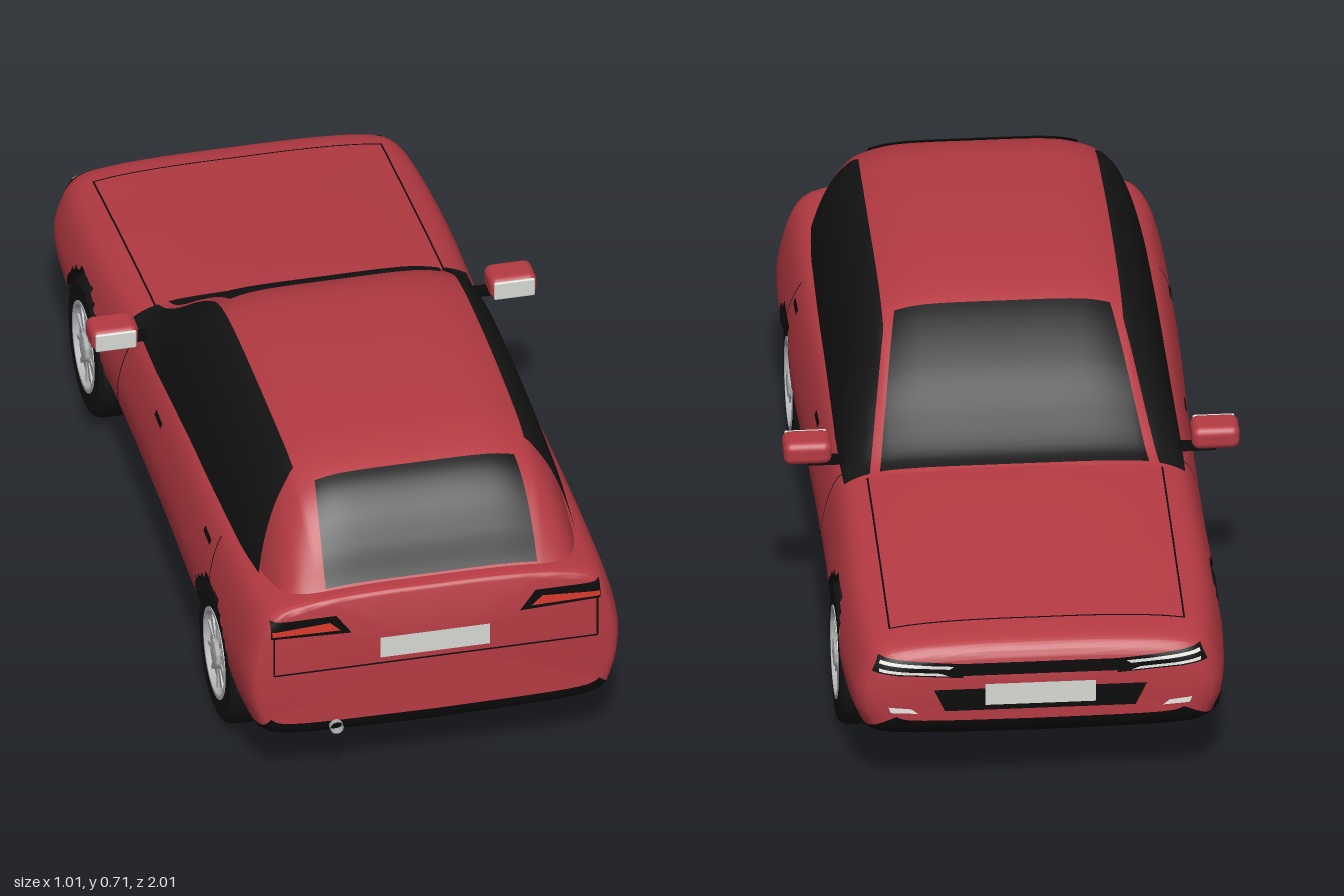
import * as THREE from 'three';
import { toCreasedNormals } from 'three/addons/utils/BufferGeometryUtils.js';
import { RoundedBoxGeometry } from 'three/addons/geometries/RoundedBoxGeometry.js';

const mat = (name, color, side = THREE.FrontSide) => new THREE.MeshStandardMaterial({ name, color, side });
const lerp = THREE.MathUtils.lerp;

// Smooth interpolation of table rows [z, a, b, ...]
function table(rows) {
  const slope = (i, k) => {
    const a = rows[Math.max(i - 1, 0)], b = rows[Math.min(i + 1, rows.length - 1)];
    return (b[k] - a[k]) / (b[0] - a[0]);
  };
  return (z, k) => {
    let i = 0;
    while (i < rows.length - 2 && z > rows[i + 1][0]) i++;
    const p = rows[i], q = rows[i + 1], h = q[0] - p[0];
    const t = THREE.MathUtils.clamp((z - p[0]) / h, 0, 1), s = 1 - t;
    return p[k] * s * s * (1 + 2 * t) + q[k] * t * t * (1 + 2 * s)
      + h * t * s * (slope(i, k) * s - slope(i + 1, k) * t);
  };
}
const spline = pts => new THREE.SplineCurve(pts.map(p => new THREE.Vector2(...p)));

// Lower body: z, half width, top, sill, floor
const body = table([
  [-1, .335, .345, .21, .195], [-.993, .365, .36, .195, .175], [-.975, .39, .376, .18, .155],
  [-.93, .408, .388, .168, .13], [-.8, .42, .402, .165, .1], [-.6, .425, .423, .165, .082],
  [-.3, .42, .45, .165, .08], [.1, .422, .473, .165, .08], [.5, .43, .483, .165, .08],
  [.8, .43, .49, .165, .085], [.93, .425, .492, .168, .11], [.97, .415, .49, .172, .13],
  [.983, .405, .485, .178, .145], [.987, .392, .475, .19, .165]]);
const upper = spline([[0, 1], [.25, 1], [.5, .988], [.72, .955], [.86, .9], [.925, .8], [.965, .65],
  [.99, .5], [1, .37], [.99, .2], [.97, .1], [.945, 0]]);
const lower = spline([[.945, 1], [.91, .6], [.83, .3], [.6, .1], [0, 0]]);

// Cabin: z, roof height, half width at the base
const cabin = table([
  [-.31, .448, .37], [-.27, .464, .371], [-.2, .515, .372], [-.1, .595, .372], [0, .658, .372],
  [.08, .69, .372], [.2, .706, .372], [.4, .712, .372], [.6, .708, .37], [.7, .7, .368],
  [.8, .67, .362], [.86, .625, .356], [.91, .56, .348], [.945, .5, .341], [.965, .47, .336]]);
const cabinSide = spline([[0, 1], [.35, .998], [.54, .975], [.69, .91], [.76, .845], [.847, .685],
  [.92, .45], [.97, .2], [1, 0]]);
function cabinPoint(z, t, off = 0) {
  const p = cabinSide.getPoint(Math.abs(t));
  return [Math.sign(t) * p.x * (cabin(z, 2) + off), .42 + (cabin(z, 1) - .42) * p.y + off * p.y, z];
}
// Profile parameter at a given fraction of the half width
function tAt(f) {
  let a = 0, b = 1;
  for (let i = 0; i < 25; i++) { const m = (a + b) / 2; if (cabinSide.getPoint(m).x < f) a = m; else b = m; }
  return a;
}

// Surface sheet from a function of u and v
function sheet(nu, nv, fn) {
  const pos = [], idx = [];
  for (let i = 0; i <= nu; i++) for (let j = 0; j <= nv; j++) {
    pos.push(...fn(i / nu, j / nv));
    if (i < nu && j < nv) {
      const a = i * (nv + 1) + j, c = a + nv + 1;
      idx.push(a, c, a + 1, a + 1, c, c + 1);
    }
  }
  return indexed(pos, idx);
}
function indexed(pos, idx) {
  const g = new THREE.BufferGeometry();
  g.setAttribute('position', new THREE.Float32BufferAttribute(pos, 3));
  g.setIndex(idx);
  g.computeVertexNormals();
  return g;
}

const WHEELS = [-.595, .655], AXLE = .16, ARCH = .172;

// Body loft with recessed wheel arches, split into painted and black faces
function bodyGeometries() {
  const NZ = 200, NU = 26, NL = 10, H = NU + NL, N = 2 * H;
  const pos = [], deep = [], paint = [], trim = [];
  for (let i = 0; i <= NZ; i++) {
    const z0 = -.0065 + .9935 * Math.sin((i / NZ * 2 - 1) * 1.49) / Math.sin(1.49);
    for (let j = 0; j < N; j++) {
      const k = j <= H ? j : N - j, side = j <= H ? 1 : -1, up = k <= NU;
      const p = up ? upper.getPoint(k / NU) : lower.getPoint((k - NU) / NL);
      const sill = body(z0, 3);
      let x = p.x * body(z0, 1), z = z0;
      let y = up ? lerp(sill, body(z0, 2), p.y) : lerp(body(z0, 4), sill, p.y);
      let inside = false;
      for (const zc of WHEELS) {
        const d = Math.hypot(z0 - zc, y - AXLE);
        if (x < .32 || d > ARCH + .006) continue;
        if (d < ARCH - .006) { inside = true; x = .32; }
        else { z = zc + (z0 - zc) * ARCH / d; y = AXLE + (y - AXLE) * ARCH / d; }
      }
      pos.push(side * x, y, z);
      deep.push(inside);
    }
  }
  for (let i = 0; i < NZ; i++) for (let j = 0; j < N; j++) {
    const a = i * N + j, b = i * N + (j + 1) % N, c = a + N, d = b + N;
    const black = (j >= NU && j < N - NU) || [a, b, c, d].some(v => deep[v]);
    (black ? trim : paint).push(a, c, b, b, c, d);
  }
  // Flat nose and tail panels
  for (const [row, z, y] of [[0, -1, .28], [NZ, .987, .33]]) {
    const m = pos.length / 3;
    pos.push(0, y, z);
    for (let j = 0; j < N; j++) {
      const a = row * N + j, b = row * N + (j + 1) % N;
      paint.push(...(row ? [m, b, a] : [m, a, b]));
    }
  }
  return [paint, trim].map(idx => toCreasedNormals(indexed(pos, idx), .6));
}

export function createModel() {
  const car = new THREE.Group();
  car.name = 'car';
  const D = THREE.DoubleSide;
  const paint = mat('red paint', 0xb53a43), trim = mat('black trim', 0x0b0b0b, D);
  const glass = mat('dark glass', 0x141414, D), rubber = mat('tyre rubber', 0x131313);
  const alloy = mat('alloy', 0xb4b6b8), pale = mat('pale plate', 0xd6d8d2, D);
  const redLamp = mat('red lamp', 0xdc3a2c, D), lamp = mat('white lamp', 0xeeeeea, D);
  const add = (name, geo, m, parent = car) => {
    const mesh = new THREE.Mesh(geo, m);
    mesh.name = name;
    parent.add(mesh);
    return mesh;
  };

  const [skin, under] = bodyGeometries();
  const shell = [add('bodyShell', skin, paint), add('underbody', under, trim)];
  add('cabin', sheet(100, 64, (u, v) => cabinPoint(lerp(-.31, .965, u), v * 2 - 1)), paint);

  // Glass follows the cabin surface
  const span = (z0, z1, f0, f1) => sheet(30, 30, (u, v) =>
    cabinPoint(lerp(z0, z1, u), (v * 2 - 1) * tAt(lerp(f0, f1, u)), .006));
  add('windscreen', span(-.305, .035, .79, .63), glass);
  add('rearWindow', span(.785, .95, .61, .69), glass);
  for (const s of [1, -1]) add('sideWindow', sheet(70, 16, (u, v) => {
    const z = lerp(-.305, lerp(.73, .83, v), u);
    const top = z < 0 ? lerp(.70, .85, -z / .305) : .70;
    return cabinPoint(z, s * lerp(tAt(top), 1, v), .006);
  }), glass);

  // Thin plates laid onto the body along one axis; corners run around the quad
  const ray = new THREE.Raycaster();
  function decal(name, axis, sign, q, m, nu = 10, nv = 2, off = .004) {
    const dir = new THREE.Vector3().setComponent(axis, -sign);
    const [h, w] = [[2, 1], [0, 2], [0, 1]][axis];
    add(name, sheet(nu, nv, (u, v) => {
      const at = k => lerp(lerp(q[0][k], q[1][k], u), lerp(q[3][k], q[2][k], u), v);
      const p = new THREE.Vector3().setComponent(h, at(0)).setComponent(w, at(1)).setComponent(axis, sign * 2);
      ray.set(p, dir);
      const hit = ray.intersectObjects(shell)[0];
      p.setComponent(axis, (hit ? hit.point.getComponent(axis) : sign * .9) + sign * off);
      return p.toArray();
    }), m);
  }
  const box = (a0, b0, a1, b1) => [[a0, b0], [a1, b0], [a1, b1], [a0, b1]];
  const flip = (q, s) => q.map(([a, b]) => [a * s, b]);

  // Tail
  decal('rearPlate', 2, 1, box(-.125, .32, .122, .372), pale, 2, 2);
  decal('tailgateSeam', 2, 1, box(-.365, .304, .365, .308), trim, 16, 1);
  // Nose
  decal('upperGrille', 2, -1, box(-.18, .308, .18, .338), trim, 10, 3);
  decal('lowerIntake', 2, -1, [[-.21, .222], [.21, .222], [.235, .275], [-.235, .275]], trim, 10, 3);
  decal('frontPlate', 2, -1, box(-.122, .236, .122, .288), pale, 4, 2, .008);
  decal('bonnetSeam', 1, 1, box(-.325, -.907, .325, -.903), trim, 16, 1);
  for (const s of [1, -1]) {
    decal('rearLampHousing', 2, 1, flip([[.19, .396], [.372, .403], [.372, .445], [.225, .445]], s), trim, 14, 4);
    decal('rearLamp', 2, 1, flip([[.215, .408], [.37, .411], [.37, .423], [.24, .431]], s), redLamp, 14, 3, .008);
    decal('tailgateSeam', 2, 1, flip(box(.363, .306, .367, .445), s), trim, 1, 12);
    decal('headlampHousing', 2, -1, flip([[.17, .303], [.37, .318], [.355, .352], [.17, .338]], s), trim, 14, 4);
    decal('headlampUpper', 2, -1, flip([[.2, .327], [.355, .339], [.352, .346], [.19, .334]], s), lamp, 14, 2, .008);
    decal('headlampLower', 2, -1, flip([[.2, .31], [.355, .322], [.355, .329], [.22, .318]], s), lamp, 14, 2, .008);
    decal('fogLamp', 2, -1, flip([[.27, .218], [.33, .222], [.335, .236], [.285, .23]], s), lamp, 6, 2);
    decal('bonnetSeam', 1, 1, flip(box(.323, -.907, .327, -.3), s), trim, 1, 16);
    // Doors
    decal('frontDoorSeam', 0, s, [[-.247, .425], [-.243, .425], [-.263, .17], [-.267, .17]], trim, 1, 14);
    decal('rearDoorSeam', 0, s, [[.608, .435], [.612, .435], [.635, .335], [.631, .335]], trim, 1, 8);
    for (const [z, y] of [[.555, .405], [.06, .39]])
      decal('doorHandle', 0, s, box(z - .03, y - .006, z + .03, y + .006), trim, 4, 1, .008);

    // Mirrors
    const mirror = new THREE.Group();
    mirror.name = 'mirror';
    mirror.position.set(s * .45, .46, -.2);
    car.add(mirror);
    add('mirrorHousing', new RoundedBoxGeometry(.106, .054, .08, 4, .018), paint, mirror);
    add('mirrorGlass', new RoundedBoxGeometry(.092, .044, .008, 3, .0035), pale, mirror).position.z = .039;
    add('mirrorArm', new THREE.BoxGeometry(.1, .012, .03), trim, mirror).position.set(-s * .05, -.027, -.01);

    // Wheels
    for (const z of WHEELS) {
      const wheel = new THREE.Group();
      wheel.name = 'wheel';
      wheel.position.set(s * .375, AXLE, z);
      wheel.rotation.z = -s * Math.PI / 2;
      car.add(wheel);
      const lathe = pts => toCreasedNormals(new THREE.LatheGeometry(pts.map(p => new THREE.Vector2(...p)), 48), .6);
      add('tyre', lathe([[0, -.04], [.1, -.045], [.145, -.045], [.156, -.036], [.16, -.022], [.16, .022],
        [.156, .036], [.145, .045], [.104, .045], [.1, .03]]), rubber, wheel);
      add('rim', lathe([[.104, .03], [.104, .047], [.095, .047], [.088, .034], [.04, .038], [.034, .041],
        [.03, .048], [0, .051]]), alloy, wheel);
      for (let i = 0; i < 10; i++) {
        const a = i * Math.PI / 5;
        const spoke = add('spoke', new THREE.BoxGeometry(.06, .008, .009), alloy, wheel);
        spoke.position.set(Math.cos(a) * .062, .036, -Math.sin(a) * .062);
        spoke.rotation.y = a;
      }
    }
  }

  // Exhaust
  const pipe = add('exhaust', new THREE.CylinderGeometry(.015, .015, .12, 20, 1, true), alloy);
  pipe.material = mat('exhaust metal', 0xa8aaac, D);
  pipe.position.set(-.225, .155, .94);
  pipe.rotation.x = Math.PI / 2;
  return car;
}
